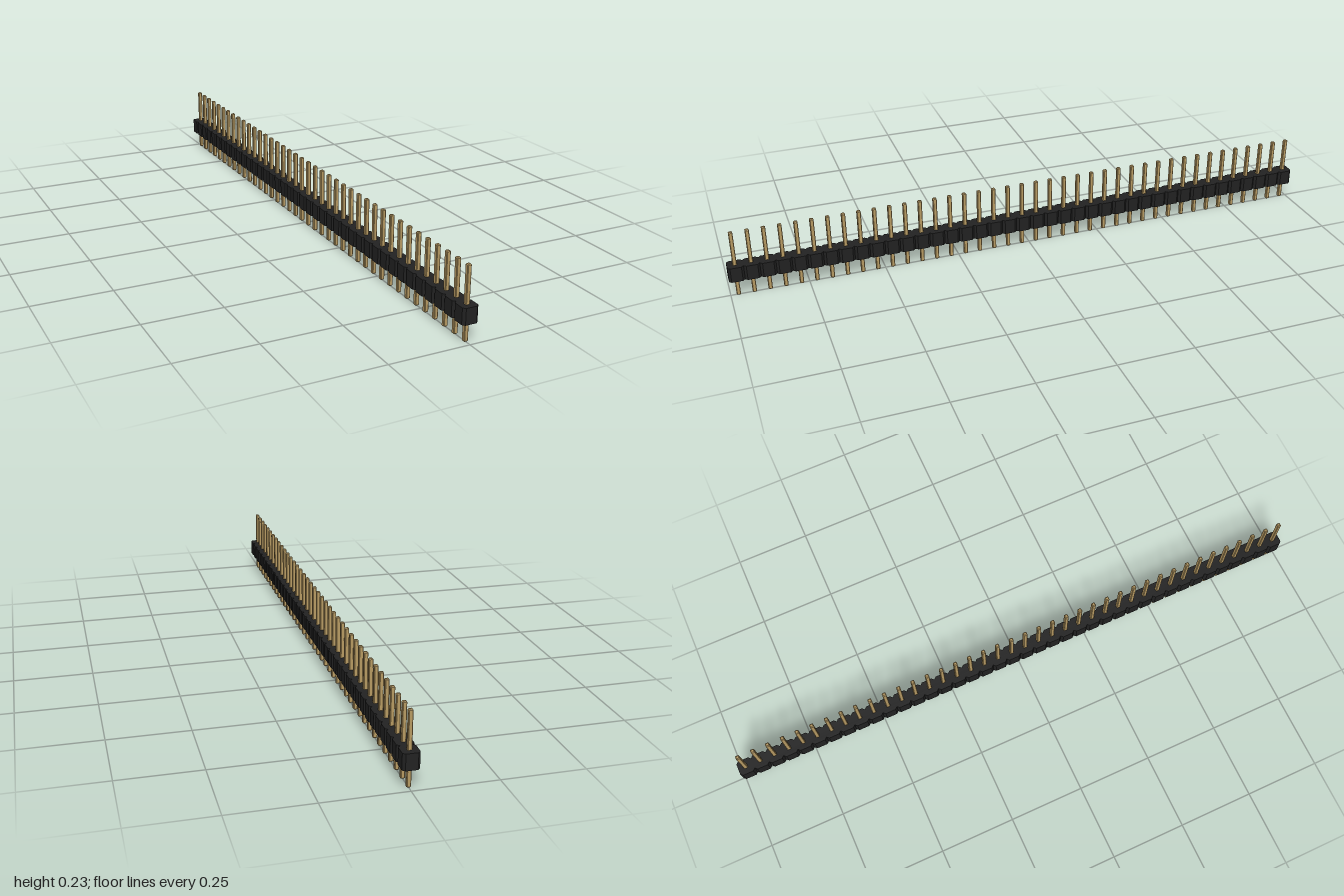
import * as THREE from 'three';

const COUNT = 40, PITCH = 0.05;

// Upright prism from a plan outline, standing on y0
function prism(points, y0, y1, bevel = 0) {
  const geo = new THREE.ExtrudeGeometry(new THREE.Shape(points), {
    depth: y1 - y0 - 2 * bevel,
    bevelEnabled: bevel > 0,
    bevelSize: bevel,
    bevelThickness: bevel,
    bevelOffset: -bevel,
    bevelSegments: 1,
  });
  geo.rotateX(-Math.PI / 2);
  geo.translate(0, y0 + bevel, 0);
  return geo;
}

// Square plan with cut corners, half-width h and corner cut c
function cutSquare(h, c) {
  return [[h, c - h], [h, h - c], [h - c, h], [c - h, h], [-h, h - c], [-h, c - h], [c - h, -h], [h - c, -h]]
    .map(([x, y]) => new THREE.Vector2(x, y));
}

export function createModel() {
  const model = new THREE.Group();
  const plastic = new THREE.MeshStandardMaterial({ color: 0x222222, flatShading: true });
  const brass = new THREE.MeshStandardMaterial({ color: 0xb89b63, flatShading: true });

  // Strip outline: a row of cut-corner cells, notched between neighbours
  const h = PITCH / 2, c = 0.0075, right = [];
  for (let i = 0; i < COUNT; i++) {
    const z = (i - COUNT / 2) * PITCH;
    right.push([h - c, z], [h, z + c], [h, z + PITCH - c]);
  }
  right.push([h - c, COUNT * h]);
  const left = right.map(([x, z]) => [-x, z]).reverse();
  const outline = [...right, ...left].map(([x, z]) => new THREE.Vector2(x, z));
  const housing = new THREE.Mesh(prism(outline, 0.06, 0.11), plastic);
  housing.name = 'housing';
  model.add(housing);

  // Pins through every cell, with chamfered tips
  const pins = new THREE.Group();
  pins.name = 'pins';
  const pinGeo = prism(cutSquare(0.0064, 0.0018), 0.002, 0.228, 0.0025);
  pinGeo.translate(0, -0.002, 0);
  for (let i = 0; i < COUNT; i++) {
    const pin = new THREE.Mesh(pinGeo, brass);
    pin.name = 'pin';
    pin.position.z = (i - (COUNT - 1) / 2) * PITCH;
    pins.add(pin);
  }
  model.add(pins);
  return model;
}
